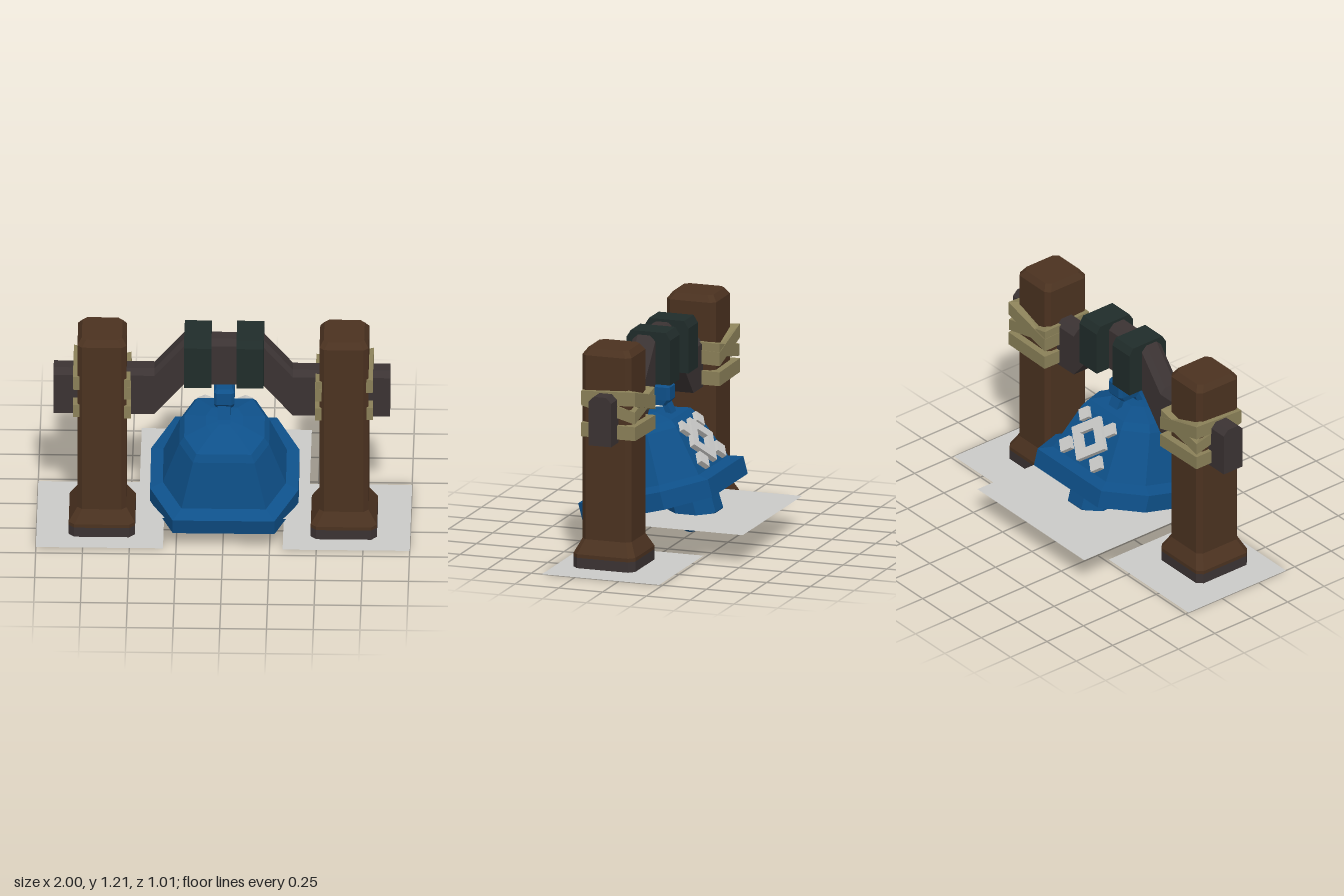
import * as THREE from 'three';

const mat = (name, color, side = THREE.FrontSide) => {
  const m = new THREE.MeshStandardMaterial({ color, side, flatShading: true });
  m.name = name;
  return m;
};

// Flat-sided loft through rings of equal length; rings run counter-clockwise about the direction of travel
function loft(rings, capStart = true, capEnd = true) {
  const pos = [];
  const tri = (a, b, c) => pos.push(...a, ...b, ...c);
  const n = rings[0].length;
  for (let i = 0; i < rings.length - 1; i++) {
    for (let j = 0; j < n; j++) {
      const k = (j + 1) % n;
      const [a, b, c, d] = [rings[i][j], rings[i][k], rings[i + 1][k], rings[i + 1][j]];
      tri(a, b, c);
      tri(a, c, d);
    }
  }
  const first = rings[0], last = rings[rings.length - 1];
  for (let j = 1; j < n - 1; j++) {
    if (capStart) tri(first[0], first[j + 1], first[j]);
    if (capEnd) tri(last[0], last[j], last[j + 1]);
  }
  const g = new THREE.BufferGeometry();
  g.setAttribute('position', new THREE.Float32BufferAttribute(pos, 3));
  g.computeVertexNormals();
  return g;
}

// Horizontal rectangle with cut corners
const octagon = (y, hx, hz, cx, cz = cx) => [
  [hx, y, hz - cz], [hx, y, cz - hz], [hx - cx, y, -hz], [cx - hx, y, -hz],
  [-hx, y, cz - hz], [-hx, y, hz - cz], [cx - hx, y, hz], [hx - cx, y, hz],
];

export function createModel() {
  const model = new THREE.Group();
  const wood = mat('brown wood', 0x4b3220);
  const iron = mat('dark beam', 0x3b3333);
  const strapMat = mat('dark green strap', 0x202c2a);
  const rope = mat('tan rope', 0x8a8058);
  const blue = mat('blue bell', 0x0e5089, THREE.DoubleSide);
  const pale = mat('pale grey', 0xcacac8, THREE.DoubleSide);

  const add = (name, geo, material, parent = model, x = 0, y = 0, z = 0) => {
    const m = new THREE.Mesh(geo, material);
    m.name = name;
    m.position.set(x, y, z);
    parent.add(m);
    return m;
  };
  const sheet = (name, w, d, x, y, z) =>
    add(name, new THREE.PlaneGeometry(w, d).rotateX(-Math.PI / 2), pale, model, x, y, z);

  // Posts, feet, ground sheets and rope wraps
  const postGeo = loft([
    octagon(0.06, 0.177, 0.176, 0.03), octagon(0.08, 0.177, 0.176, 0.03),
    octagon(0.155, 0.131, 0.14, 0.025), octagon(1.17, 0.131, 0.14, 0.025),
    octagon(1.205, 0.108, 0.115, 0.025),
  ]);
  const footGeo = loft([octagon(0.003, 0.177, 0.176, 0.03), octagon(0.06, 0.177, 0.176, 0.03)]);

  // U-shaped wrap open to the front; heights run outer front, outer back, inner back, inner front
  const wrap = (s, heights, h) => {
    const path = [[1, 0.13], [1, -0.178], [-1, -0.178], [-1, 0.13]];
    return loft(path.map(([side, z], i) => {
      const y = heights[i];
      const inZ = z < 0 ? z + 0.045 : z;
      const xo = s * side * 0.155, xi = s * side * 0.12;
      const ring = [[xi, y + h, inZ], [xo, y + h, z], [xo, y - h, z], [xi, y - h, inZ]];
      return s > 0 ? ring : ring.reverse();
    }));
  };

  for (const s of [1, -1]) {
    const side = s > 0 ? 'left' : 'right';
    const post = new THREE.Group();
    post.name = side + 'Post';
    post.position.set(s > 0 ? 0.645 : -0.65, 0, 0.16);
    model.add(post);
    add('postShaft', postGeo, wood, post);
    add('postFoot', footGeo, iron, post);
    add('upperRope', wrap(s, [0.94, 0.955, 0.87, 0.88], 0.038), rope, post);
    add('lowerRope', wrap(s, [0.765, 0.765, 0.76, 0.76], 0.038), rope, post);
    add('crossRope', wrap(s, [0.93, 0.85, 0.92, 0.93], 0.033).scale(0.985, 1, 0.985), rope, post);
    sheet(side + 'GroundSheet', 0.68, 0.67, s * 0.66, 0, 0.105);
  }

  // Arched cross beam with a bevelled top
  const beamStations = [
    [-0.91, 0.705, 0.975], [-0.37, 0.705, 0.975], [-0.21, 0.895, 1.165],
    [0.21, 0.895, 1.165], [0.37, 0.705, 0.975], [0.89, 0.705, 0.975],
  ];
  add('crossBeam', loft(beamStations.map(([x, b, t]) => [
    [x, t, -0.035], [x, t, 0.035], [x, t - 0.03, 0.065],
    [x, b, 0.065], [x, b, -0.065], [x, t - 0.03, -0.065],
  ])), iron, model, 0, 0, 0.15);

  // Two straps over the arch
  for (const x of [-0.138, 0.142]) {
    add('beamStrap', loft([-0.073, 0.073].map((dx) => [
      [dx, 1.18, -0.1], [dx, 1.18, 0.1], [dx, 1.14, 0.125],
      [dx, 0.893, 0.125], [dx, 0.893, -0.125], [dx, 1.14, -0.125],
    ])), strapMat, model, x, 0, 0.125);
  }

  // Tilted bell, open below
  const bell = new THREE.Group();
  bell.name = 'bell';
  bell.position.set(0.005, 0.2175, 0.1065);
  bell.rotation.x = 0.26;
  model.add(bell);
  const bellProfile = [[0, 1], [0.098, 1], [0.124, 0.83], [0.39, 0.605], [0.43, 0.54], [0.475, 0.25], [0.485, 0.1]];
  add('bellBody', loft(bellProfile.map(([y, k]) =>
    octagon(y, 0.397 * k, 0.383 * k, 0.125 * k, 0.235 * k)), false, true), blue, bell);

  // Clapper hanging below the bell
  const clapperProfile = [[0, -0.2], [0.07, -0.2], [0.15, -0.12], [0.145, 0.02], [0.06, 0.1], [0.03, 0.4]];
  add('clapper', new THREE.LatheGeometry(clapperProfile.map(([r, y]) => new THREE.Vector2(r, y)), 8, Math.PI / 8),
    blue, bell, 0, 0, -0.15);

  // Hanging loop: knob with two splayed legs
  add('bellKnob', loft([
    octagon(0.735, 0.05, 0.05, 0.012), octagon(0.765, 0.055, 0.075, 0.015),
    octagon(0.835, 0.055, 0.075, 0.015), octagon(0.852, 0.042, 0.055, 0.012),
  ]), blue, model, 0.003, 0, 0.14);
  for (const s of [1, -1]) {
    const leg = add('knobLeg', new THREE.BoxGeometry(0.07, 0.12, 0.03), blue, model, 0.003, 0.715, 0.145 + s * 0.06);
    leg.rotation.x = -s * 0.45;
  }

  // Diamond emblem on the back of the bell
  const emblem = new THREE.Group();
  emblem.name = 'emblem';
  emblem.position.set(0.005, 0.545, -0.088);
  emblem.lookAt(0.005, 0.545 + 0.58, -0.088 - 0.82);
  model.add(emblem);
  const diamond = (Kind, rx, ry) => new Kind([[rx, 0], [0, ry], [-rx, 0], [0, -ry]]
    .map(([x, y]) => new THREE.Vector2(x, y)));
  const plate = { depth: 0.03, bevelEnabled: false };
  const ring = diamond(THREE.Shape, 0.14, 0.135);
  ring.holes.push(diamond(THREE.Path, 0.066, 0.062));
  add('emblemRing', new THREE.ExtrudeGeometry(ring, plate), pale, emblem);
  for (const s of [1, -1]) {
    add('lowerEmblemDot', new THREE.ExtrudeGeometry(diamond(THREE.Shape, 0.05, 0.05), plate), pale, emblem, s * 0.128, -0.095, 0);
    add('upperEmblemDot', new THREE.ExtrudeGeometry(diamond(THREE.Shape, 0.045, 0.045), plate), pale, emblem, s * 0.108, 0.1, 0);
  }

  // Raised sheet beneath the bell
  sheet('bellSheet', 0.91, 0.91, 0.003, 0.17, -0.05);
  return model;
}
